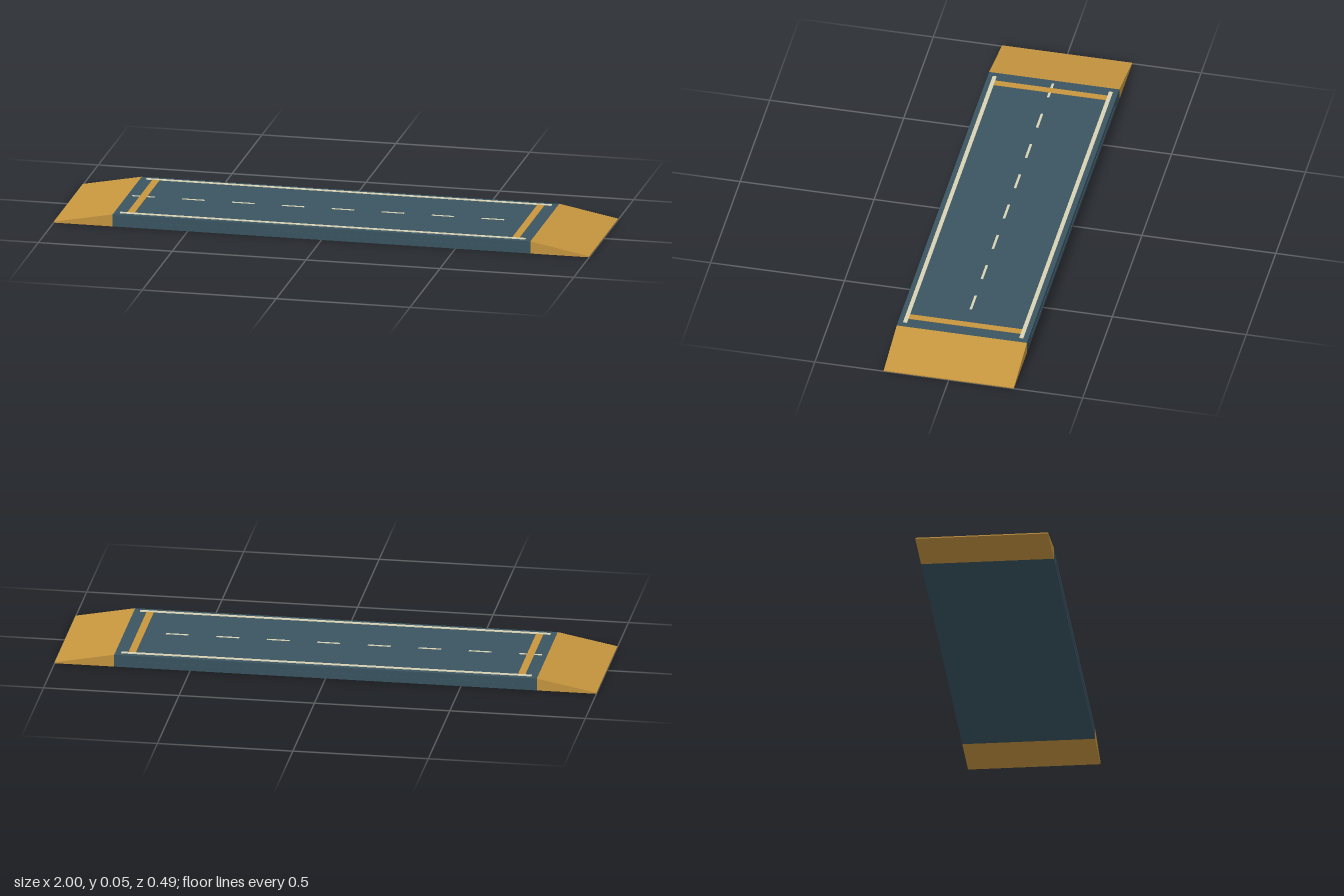
import * as THREE from 'three';

export function createModel() {
  const group = new THREE.Group();
  const material = (name, color) => {
    const m = new THREE.MeshStandardMaterial({ color });
    m.name = name;
    return m;
  };
  const slate = material('slate', 0x3a5562);
  const amber = material('amber', 0xc8973f);
  const cream = material('cream', 0xd8d3b4);

  const top = 0.046, halfDeck = 0.78, halfWidth = 0.243;

  const box = (name, mat, size, position) => {
    const mesh = new THREE.Mesh(new THREE.BoxGeometry(...size), mat);
    mesh.name = name;
    mesh.position.set(...position);
    group.add(mesh);
  };

  // Deck
  box('deck', slate, [2 * halfDeck, top, 2 * halfWidth], [0, top / 2, 0]);

  // Sloping end ramps with a thin lip
  const profile = new THREE.Shape([
    new THREE.Vector2(halfDeck, 0),
    new THREE.Vector2(1, 0),
    new THREE.Vector2(1, 0.004),
    new THREE.Vector2(halfDeck, top),
  ]);
  const rampGeometry = new THREE.ExtrudeGeometry(profile, { depth: 2 * halfWidth, bevelEnabled: false });
  rampGeometry.translate(0, 0, -halfWidth);
  for (const side of [-1, 1]) {
    const ramp = new THREE.Mesh(rampGeometry, amber);
    ramp.name = side > 0 ? 'leftRamp' : 'rightRamp';
    if (side < 0) ramp.rotation.y = Math.PI;
    group.add(ramp);

    // Stop bar, edge line and side rail
    box('stopBar', amber, [0.027, 0.002, 0.42], [side * 0.719, top + 0.0008, 0]);
    box('edgeLine', cream, [1.515, 0.002, 0.015], [0, top + 0.001, side * 0.217]);
    box('sideRail', slate, [1.42, 0.006, 0.003], [0, 0.02, side * (halfWidth + 0.0005)]);
  }

  // Dashed centre line
  for (let i = 0; i < 8; i++) {
    box('centreDash', cream, [0.084, 0.002, 0.009], [-0.719 + i * 0.1864, top + 0.0004, 0]);
  }
  return group;
}
